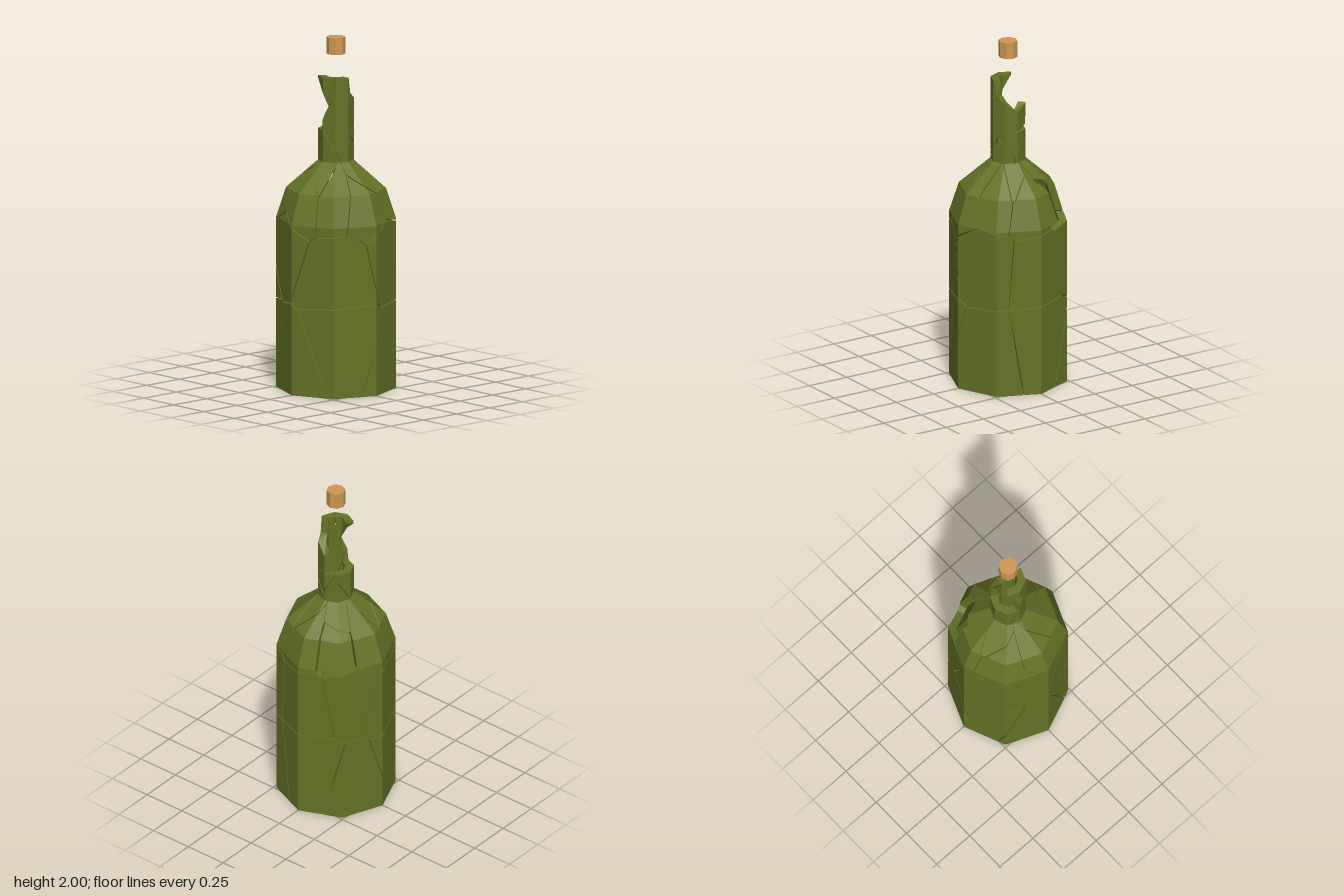
import * as THREE from 'three';

// Octagonal bottle profile: [height, corner radius]
const PROFILE = [[0, 0.335], [0.97, 0.335], [1.14, 0.28], [1.3, 0.1], [1.78, 0.1]];
const WALL = 0.045;
const GAP = 0.0028;

const corner = (k, r, y) =>
  new THREE.Vector3(Math.sin(k * Math.PI / 4) * r, y, Math.cos(k * Math.PI / 4) * r);

function radiusAt(y) {
  for (let i = 1; i < PROFILE.length; i++) {
    const [y0, r0] = PROFILE[i - 1], [y1, r1] = PROFILE[i];
    if (y <= y1 + 1e-6) return r0 + (r1 - r0) * (y - y0) / (y1 - y0);
  }
  return 0.1;
}

// Maps (u = eighths of a turn from the front, y) onto the faceted wall
function wallPoint([u, y], inset) {
  const k = Math.floor(u), r = radiusAt(y) - inset;
  return corner(k, r, y).lerp(corner(k + 1, r, y), u - k);
}

// Keeps the part of a polygon where a*u + b*y <= c
function clip(poly, a, b, c) {
  const out = [];
  poly.forEach((p, i) => {
    const q = poly[(i + 1) % poly.length];
    const dp = a * p[0] + b * p[1] - c, dq = a * q[0] + b * q[1] - c;
    if (dp <= 0) out.push(p);
    if ((dp < 0 && dq > 0) || (dp > 0 && dq < 0)) {
      const t = dp / (dp - dq);
      out.push([p[0] + (q[0] - p[0]) * t, p[1] + (q[1] - p[1]) * t]);
    }
  });
  return out;
}

// Thick shard: polygon split at the facet folds, with outer, inner and broken faces
function shardGeometry(poly) {
  const pos = [];
  const tri = (...pts) => pts.forEach(p => pos.push(p.x, p.y, p.z));
  const us = poly.map(p => p[0]);
  const near = (a, b) => Math.abs(a - b) < 1e-6;
  for (let k = Math.floor(Math.min(...us)); k < Math.max(...us); k++) {
    const strip = clip(clip(poly, -1, 0, -k), 1, 0, k + 1);
    for (let j = 1; j < PROFILE.length; j++) {
      const lo = PROFILE[j - 1][0], hi = PROFILE[j][0];
      const piece = clip(clip(strip, 0, -1, -lo), 0, 1, hi);
      if (piece.length < 3) continue;
      const out = piece.map(p => wallPoint(p, 0)), inn = piece.map(p => wallPoint(p, WALL));
      piece.forEach((p, i) => {
        const n = (i + 1) % piece.length, q = piece[n];
        if (i > 0 && n > 0) {
          tri(out[0], out[i], out[n]);
          tri(inn[0], inn[n], inn[i]);
        }
        const fold = (near(p[0], q[0]) && (near(p[0], k) || near(p[0], k + 1))) ||
          (near(p[1], q[1]) && PROFILE.slice(1, -1).some(f => near(f[0], p[1])));
        if (!fold) {
          tri(out[i], inn[i], inn[n]);
          tri(out[i], inn[n], out[n]);
        }
      });
    }
  }
  const g = new THREE.BufferGeometry();
  g.setAttribute('position', new THREE.Float32BufferAttribute(pos, 3));
  g.computeVertexNormals();
  return g;
}

// Splits a band of the wall into cells around seeds, with narrow cracks between
function shatter(seeds, scale, yMin, yMax) {
  return seeds.map(([u, y], i) => {
    let cell = [[u - 3.9, yMin], [u + 3.9, yMin], [u + 3.9, yMax], [u - 3.9, yMax]];
    seeds.forEach(([v, w], j) => {
      for (const turn of [-8, 0, 8]) {
        if (i === j && turn === 0) continue;
        const dx = (v + turn - u) * scale, dy = w - y, d = Math.hypot(dx, dy);
        const mx = (u + v + turn) / 2 * scale, my = (y + w) / 2;
        cell = clip(cell, dx * scale, dy, dx * mx + dy * my - GAP * d);
      }
    });
    return cell;
  });
}

const BODY_SEEDS = [
  [-0.28, 0.18], [1.24, 0.32], [2.7, 0.22], [4.2, 0.28], [5.4, 0.2], [6.5, 0.28],
  [-0.6, 0.84], [1.15, 0.7], [2.6, 0.78], [4.1, 0.75], [5.2, 0.8], [6.3, 0.7],
  [0.1, 1.13], [1, 1.14], [1.9, 1.1], [2.9, 1.16], [3.9, 1.12], [4.9, 1.12], [5.8, 1.13], [6.8, 1.1],
  [0.5, 1.24], [2.2, 1.25], [3.5, 1.25], [5, 1.26], [6.5, 1.24],
];
const SUNKEN = 17; // shoulder shard that has fallen inward

const NECK_SEEDS = [[0.2, 1.36], [1.3, 1.42], [2.6, 1.35], [3.6, 1.43], [4.8, 1.37], [5.8, 1.42], [6.9, 1.4]];

// Jagged shards left standing at the top of the neck
const TOP_SHARDS = [
  [[-1, 1.765], [0, 1.69], [0.45, 1.62], [0.9, 1.66], [1, 1.78], [-1, 1.78]],
  [[0.9, 1.66], [2.4, 1.69], [2.1, 1.78], [1, 1.78]],
  [[-0.2, 1.48], [2, 1.48], [2.4, 1.69], [0.9, 1.66], [0.45, 1.62], [0, 1.55]],
  [[2, 1.48], [3.8, 1.48], [4, 1.6], [2.4, 1.69]],
  [[3.8, 1.48], [4.9, 1.51], [5.1, 1.64], [4, 1.6]],
];

export function createModel() {
  const model = new THREE.Group();
  const glass = new THREE.MeshStandardMaterial({ color: 0x667326, flatShading: true });
  const cork = new THREE.MeshStandardMaterial({ color: 0xcf9855, flatShading: true });

  const addShards = (name, polys) => {
    const group = new THREE.Group();
    group.name = name;
    polys.forEach((poly, i) => {
      const mesh = new THREE.Mesh(shardGeometry(poly), glass);
      mesh.name = name + 'Shard' + (i + 1);
      group.add(mesh);
    });
    model.add(group);
    return group;
  };

  // Body, shoulder and neck
  const body = addShards('body', shatter(BODY_SEEDS, 0.25, 0, 1.3));
  body.children[SUNKEN].position.set(0.035, -0.03, 0.035);
  addShards('neck', shatter(NECK_SEEDS, 0.08, 1.3, 1.48));
  addShards('brokenNeck', TOP_SHARDS.map(poly => {
    const cu = poly.reduce((s, p) => s + p[0], 0) / poly.length;
    const cy = poly.reduce((s, p) => s + p[1], 0) / poly.length;
    return poly.map(([u, y]) => [cu + (u - cu) * 0.98, y > 1.779 ? y : cy + (y - cy) * 0.98]);
  }));

  // Base, cracked into three slabs
  const base = new THREE.Group();
  base.name = 'base';
  for (const [from, to] of [[0, 3], [3, 5], [5, 8]]) {
    const shape = new THREE.Shape([new THREE.Vector2(0.03, 0.04)]);
    for (let k = from; k <= to; k++) {
      const inset = k === from ? 0.015 : k === to ? -0.015 : 0;
      const p = corner(k + inset, 0.328, 0);
      shape.lineTo(p.x, p.z);
    }
    const geo = new THREE.ExtrudeGeometry(shape, { depth: 0.04, bevelEnabled: false });
    geo.rotateX(Math.PI / 2).translate(0, 0.041, 0);
    const slab = new THREE.Mesh(geo, glass);
    slab.name = 'baseSlab';
    base.add(slab);
  }
  model.add(base);

  // Cork floating above the neck
  const stopper = new THREE.Mesh(new THREE.CylinderGeometry(0.053, 0.053, 0.095, 8), cork);
  stopper.name = 'cork';
  stopper.position.y = 1.9525;
  model.add(stopper);
  return model;
}
